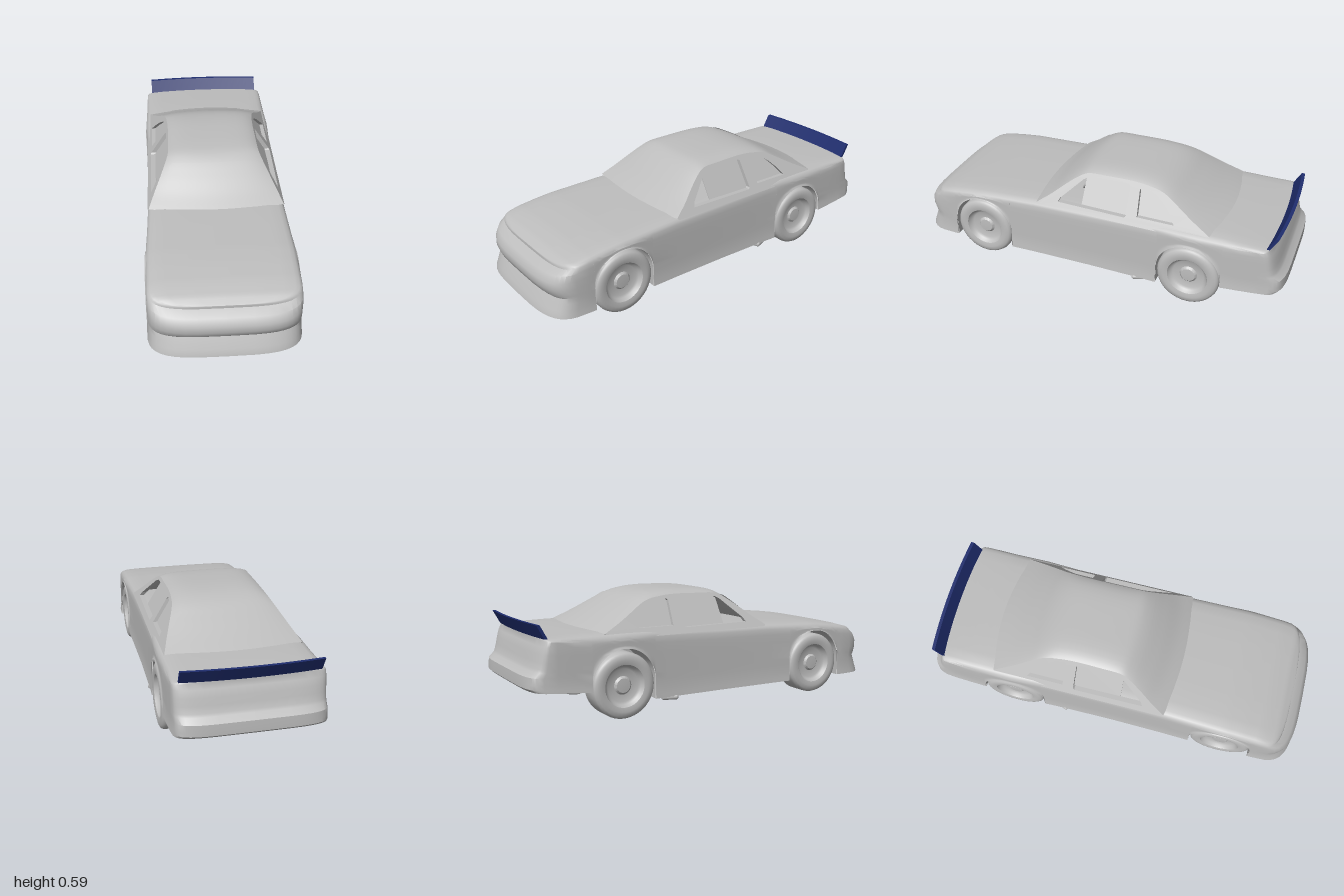
import * as THREE from 'three';
import { toCreasedNormals } from 'three/addons/utils/BufferGeometryUtils.js';
import { RoundedBoxGeometry } from 'three/addons/geometries/RoundedBoxGeometry.js';

const grey = new THREE.MeshStandardMaterial({ color: 0xbdbdbd, side: THREE.DoubleSide });
grey.name = 'primer grey';
const navy = new THREE.MeshStandardMaterial({ color: 0x1f2d6e });
navy.name = 'navy blue';

// Linear lookup in a table of [key, value] with falling keys
function lookup(table, k) {
  if (k >= table[0][0]) return table[0][1];
  for (let i = 1; i < table.length; i++) {
    const [k0, v0] = table[i - 1], [k1, v1] = table[i];
    if (k >= k1) return v0 + (v1 - v0) * (k0 - k) / (k0 - k1);
  }
  return table[table.length - 1][1];
}

// Surface through rows of points; the front faces rowDirection x columnDirection
function loft(rows, crease = 0.6) {
  const n = rows[0].length, index = [];
  for (let i = 0; i < rows.length - 1; i++) {
    for (let j = 0; j < n - 1; j++) {
      const a = i * n + j, c = a + n;
      index.push(a, c, a + 1, a + 1, c, c + 1);
    }
  }
  const g = new THREE.BufferGeometry();
  g.setAttribute('position', new THREE.Float32BufferAttribute(rows.flat(2), 3));
  g.setIndex(index);
  return toCreasedNormals(g, crease);
}
const mirror = rows => rows.map(r => r.map(([x, y, z]) => [-x, y, z])).reverse();

// Body measures along z
const topY = z => lookup([[0.925, 0.315], [0.88, 0.34], [0.8, 0.362], [0.7, 0.376], [0.61, 0.385], [0.3, 0.4],
  [0, 0.405], [-0.4, 0.42], [-0.7, 0.42], [-0.93, 0.412]], z);
const crown = z => lookup([[0.92, 0.015], [0.8, 0.03], [0.3, 0.035], [-0.7, 0.035], [-0.92, 0.012]], z);
const halfWidth = z => lookup([[0.8, 0.357], [0.61, 0.357], [0.3, 0.348], [0, 0.344], [-0.3, 0.346],
  [-0.53, 0.355], [-0.8, 0.351], [-0.92, 0.347]], z);
const tailBottom = z => 0.15 + (-0.695 - z) * 0.085;

// Wheel arches
const ARCH_R = 0.165, ARCH_Y = 0.175, AXLES = [0.61, -0.53], WELL_X = 0.2;
const archPoints = c => Array.from({ length: 21 }, (_, i) => {
  const t = i / 20 * Math.PI;
  return [c + ARCH_R * Math.cos(t), ARCH_Y + ARCH_R * Math.sin(t)];
});

// Bodywork levels: height fraction, nose z, tail z, width factor
const LEVELS = [
  [0, 1, -0.985, 1.015], [0.06, 0.997, -1, 1.01], [0.15, 0.988, -1, 1.002], [0.3, 0.972, -0.998, 1],
  [0.4, 0.96, -0.97, 1], [0.46, 0.972, -0.962, 1], [0.6, 0.985, -0.953, 1], [0.75, 0.984, -0.944, 1],
  [0.9, 0.962, -0.933, 0.999], [1, 0.92, -0.92, 0.994]];
const TOP = [[0.985, 0.35], [0.955, 0.62], [0.9, 0.8], [0.75, 0.92], [0.4, 0.985], [0, 1]];

function bodyRow(xf, zAt, bottom) {
  const zt = zAt(LEVELS[9]), shoulder = topY(zt) - crown(zt), row = [];
  for (const l of LEVELS) {
    const z = zAt(l);
    row.push([halfWidth(z) * l[3] * xf, bottom + l[0] * (shoulder - bottom), z]);
  }
  const edge = row[9][0];
  for (const [f, h] of TOP) row.push([edge * f, shoulder + crown(zt) * h, zt]);
  return row;
}

function bodyRows() {
  const rows = [], N = 10;
  const end = (zc, col, p, b, i) => {
    const a = i / N * Math.PI / 2, s = Math.sin(a) ** p, c = Math.max(0, Math.cos(a)) ** p;
    const zAt = l => zc + (l[col] - zc) * c;
    rows.push(bodyRow(s, zAt, b(zAt(LEVELS[0]))));
  };
  const side = (z, b) => rows.push(bodyRow(1, () => z, b));
  for (let i = 0; i <= N; i++) end(0.8, 1, 0.55, () => 0.08, i);
  side(0.775, 0.08);
  archPoints(AXLES[0]).forEach(p => side(...p));
  for (const z of [0.445, 0.3, 0.15, 0, -0.15, -0.3, -0.365]) side(z, 0.08);
  archPoints(AXLES[1]).forEach(p => side(...p));
  for (const z of [-0.695, -0.78]) side(z, tailBottom(z));
  for (let i = N; i >= 0; i--) end(-0.86, 2, 0.4, tailBottom, i);
  return rows;
}

// Floor strip, narrowed between the wheel wells
function floorRows(body) {
  const rows = [];
  const add = (w, y, z) => rows.push([[-w, y, z], [w, y, z]]);
  body.forEach((r, i) => {
    const [x, y, z] = r[0];
    const axle = AXLES.find(c => Math.abs(z - c) < ARCH_R + 1e-4);
    const inArch = axle !== undefined && y >= ARCH_Y - 1e-4;
    const flat = lookup([[-0.365, 0.08], [-0.695, 0.15]], z);
    add(inArch ? WELL_X : x, inArch ? flat : y, z);
  });
  return rows;
}

// Cabin: sloping side plane and the path over windscreen, roof and rear window
const sideX = y => 0.33 - (y - 0.41) * 0.63;
const cabinPath = new THREE.CatmullRomCurve3([[0.33, 0.393], [0.26, 0.44], [0.18, 0.503], [0.11, 0.553], [0.06, 0.576],
  [0, 0.585], [-0.1, 0.59], [-0.22, 0.59], [-0.32, 0.579], [-0.39, 0.557], [-0.47, 0.515], [-0.57, 0.463], [-0.68, 0.412]]
  .map(([z, y]) => new THREE.Vector3(0, y, z)));
const edgeDrop = z => lookup([[0.3, 0], [0.08, 0.014], [-0.05, 0.022], [-0.3, 0.022], [-0.45, 0.008], [-0.68, 0]], z);
const edgeBow = z => lookup([[0.33, -0.04], [0.1, -0.02], [0, 0], [-0.25, 0], [-0.45, 0.03], [-0.68, 0.06]], z);
function cabinPoint(u, s, lift = 0) {
  const p = cabinPath.getPoint(u), t = cabinPath.getTangent(u), d = edgeDrop(p.z);
  return [sideX(p.y - d) * s, p.y - d * s ** 6 - t.z * lift, p.z + edgeBow(p.z) * s * s + t.y * lift];
}
const HALF = [0, 0.2, 0.4, 0.6, 0.75, 0.85, 0.92, 0.97, 1];
const ACROSS = [...HALF.slice(1).reverse().map(s => -s), ...HALF];
// Patch of the cabin surface between two path positions, with changing width
function cabinPatch(u0, u1, s0, s1, lift, n) {
  return Array.from({ length: n + 1 }, (_, i) => {
    const f = i / n, round = 1 - 0.06 * Math.max(0, Math.abs(f - 0.5) * 2 - 0.85) / 0.15;
    const w = (s0 + (s1 - s0) * f) * (lift ? round : 1);
    return ACROSS.map(s => cabinPoint(u0 + (u1 - u0) * f, s * w, lift));
  });
}

// Upright sheet drawn in (z, y), leaning with the cabin side
const vec = pts => pts.map(([z, y]) => new THREE.Vector2(z, y));
function sideSheet(outline, holes, m, inset, depth) {
  const shape = new THREE.Shape(vec(outline));
  holes.forEach(h => shape.holes.push(new THREE.Path(vec(h))));
  const g = new THREE.ExtrudeGeometry(shape, { depth, bevelEnabled: false });
  const p = g.attributes.position;
  for (let i = 0; i < p.count; i++) {
    const z = p.getX(i), y = p.getY(i), d = p.getZ(i), x = sideX(y) - inset;
    p.setXYZ(i, m > 0 ? x - d : -x + depth - d, y, z);
  }
  g.computeVertexNormals();
  return g;
}
const DOOR_WINDOW = [[0.175, 0.415], [0.165, 0.435], [0.06, 0.533], [0.035, 0.546], [0, 0.55], [-0.175, 0.553], [-0.188, 0.545],
  [-0.192, 0.42], [-0.185, 0.412]];
const QUARTER_WINDOW = [[-0.25, 0.425], [-0.238, 0.54], [-0.248, 0.55], [-0.29, 0.547], [-0.33, 0.532], [-0.37, 0.505],
  [-0.41, 0.465], [-0.44, 0.425]];
const DOOR_PANEL = [[0.055, 0.4], [0.055, 0.56], [-0.21, 0.56], [-0.21, 0.4]];

const WHEEL = [[0, -0.03], [0.085, -0.03], [0.1, -0.06], [0.145, -0.066], [0.155, -0.06], [0.16, -0.048], [0.16, 0.046],
  [0.155, 0.058], [0.145, 0.064], [0.125, 0.068], [0.103, 0.063], [0.092, 0.045], [0.08, 0.038], [0.045, 0.036],
  [0.035, 0.046], [0, 0.048]];

export function createModel() {
  const car = new THREE.Group();
  car.name = 'stockCar';
  const add = (name, geometry, material = grey) => {
    const mesh = new THREE.Mesh(geometry, material);
    mesh.name = name;
    car.add(mesh);
    return mesh;
  };

  // Bodywork and floor
  const half = bodyRows();
  add('bodywork', loft([...half, ...mirror(half)]));
  add('floor', loft(floorRows(half).reverse().map(r => [r[1], r[0]]).reverse()));

  // Roof, glass and rear window
  add('roofShell', loft(cabinPatch(0, 1, 1, 1, 0, 48)));
  add('windscreen', loft(cabinPatch(0.025, 0.235, 0.79, 0.9, 0.004, 16)));
  add('rearWindow', loft(cabinPatch(0.75, 0.985, 0.9, 0.64, 0.003, 16)));

  // Cabin sides with open door windows and recessed panels
  const edge = Array.from({ length: 49 }, (_, i) => {
    const [, y, z] = cabinPoint(i / 48, 1);
    return [z, y];
  });
  for (const m of [1, -1]) {
    const tag = m > 0 ? 'left' : 'right';
    add(tag + 'CabinSide', sideSheet([...edge, [-0.6, 0.385], [0.28, 0.385]], [DOOR_WINDOW, QUARTER_WINDOW], m, 0, 0.025));
    add(tag + 'WindowNet', sideSheet(DOOR_PANEL, [], m, 0.03, 0.005));
    add(tag + 'QuarterWindow', sideSheet(QUARTER_WINDOW, [], m, 0.02, 0.005));

    // Wheels and wheel wells
    AXLES.forEach((c, k) => {
      const place = (k ? 'Rear' : 'Front');
      const arch = archPoints(c);
      const rim = [[c + ARCH_R, 0.08], ...arch, [c - ARCH_R, k ? 0.15 : 0.08]];
      const liner = rim.map(([z, y]) => [[WELL_X, y, z], [halfWidth(z) - 0.002, y, z]]);
      const wall = arch.map(([z, y]) => [[WELL_X, k ? lookup([[-0.365, 0.08], [-0.695, 0.15]], z) : 0.08, z], [WELL_X, y, z]]);
      add(tag + place + 'WheelLiner', loft(m > 0 ? liner : mirror(liner)));
      add(tag + place + 'WheelWellWall', loft(m > 0 ? wall : mirror(wall)));
      const lathe = new THREE.LatheGeometry(vec(WHEEL), 40);
      const wheel = add(tag + place + 'Wheel', toCreasedNormals(lathe, 0.7));
      wheel.rotation.z = -m * Math.PI / 2;
      wheel.position.set(m * 0.289, 0.16, c);
    });

    // Side exhaust outlets
    const exhaust = add(tag + 'Exhaust', new RoundedBoxGeometry(0.075, 0.026, 0.085, 3, 0.012));
    exhaust.position.set(m * 0.31, 0.074, -0.27);
    exhaust.rotation.y = m * 0.35;
  }

  // Steering wheel
  const steering = add('steeringWheel', new THREE.TorusGeometry(0.035, 0.005, 8, 24));
  steering.position.set(0.12, 0.435, 0.1);
  steering.rotation.x = -0.4;

  // Rear spoiler: bowed, leaning blade
  const blade = new THREE.BoxGeometry(0.64, 0.066, 0.016, 16, 1, 1);
  const p = blade.attributes.position;
  for (let i = 0; i < p.count; i++) {
    const x = p.getX(i), y = p.getY(i) + 0.442;
    p.setXYZ(i, x, y, p.getZ(i) - 0.902 - (y - 0.41) * 0.55 - 0.018 * (1 - (x / 0.32) ** 2));
  }
  blade.computeVertexNormals();
  add('spoiler', blade, navy);
  return car;
}
